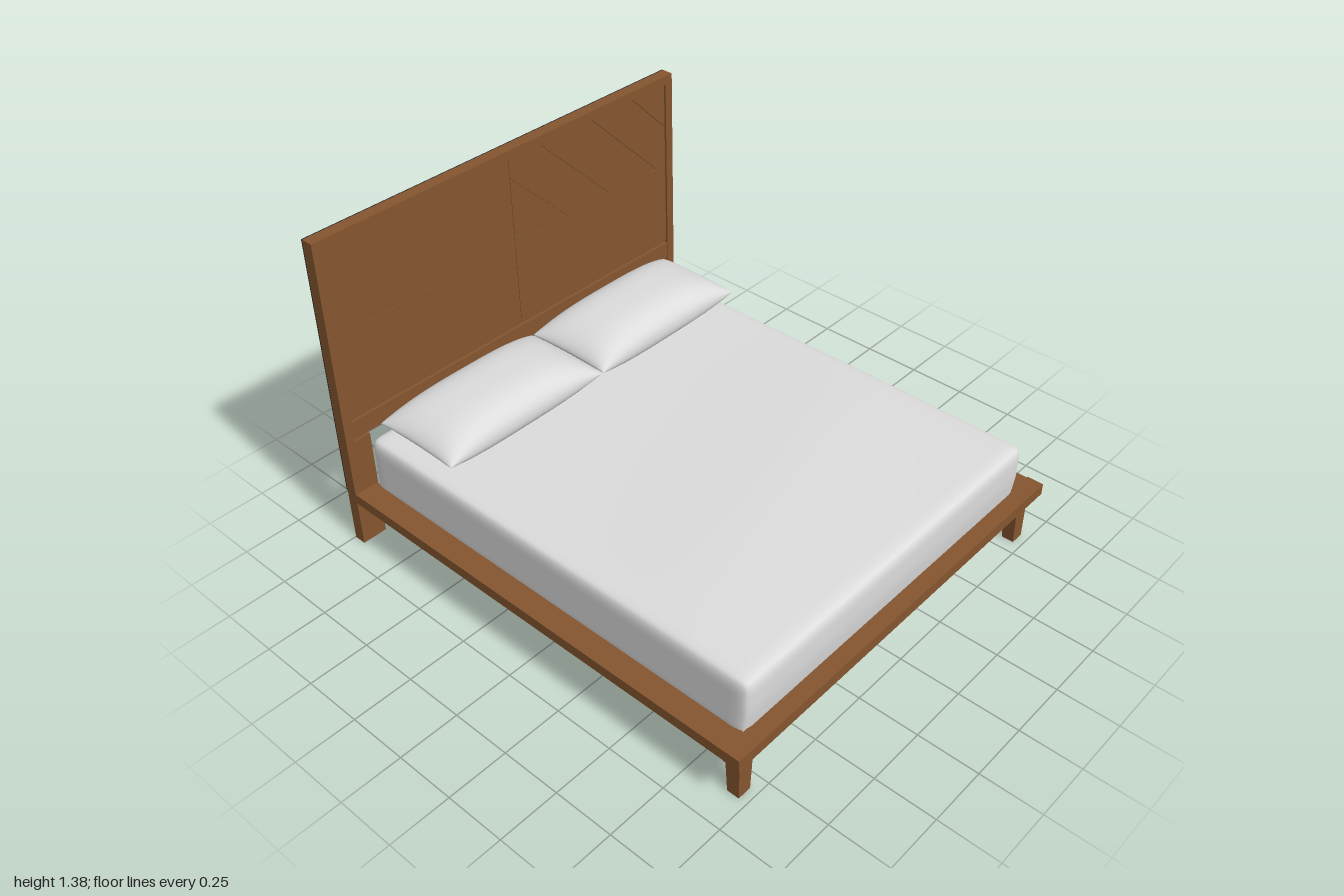
import * as THREE from 'three';
import { mergeVertices } from 'three/addons/utils/BufferGeometryUtils.js';

const mat = (name, color) => Object.assign(new THREE.MeshStandardMaterial({ color }), { name });

export function createModel() {
  const wood = mat('warm wood', 0x85562f);
  const linen = mat('pale linen', 0xdcdcdc);
  const backing = mat('charcoal backing', 0x2d2d2d);
  const root = new THREE.Group();
  root.name = 'bed';

  const add = (name, geometry, material, parent = root) => {
    const mesh = new THREE.Mesh(geometry, material);
    mesh.name = name;
    parent.add(mesh);
    return mesh;
  };
  // Box given by its min and max on each axis
  const box = (name, [x0, x1], [y0, y1], [z0, z1], material = wood, parent = root) => {
    const m = add(name, new THREE.BoxGeometry(x1 - x0, y1 - y0, z1 - z0), material, parent);
    m.position.set((x0 + x1) / 2, (y0 + y1) / 2, (z0 + z1) / 2);
    return m;
  };
  // Same box on both sides of the bed
  const pair = (name, [x0, x1], y, z, material, parent) => {
    box(name + 'Left', [x0, x1], y, z, material, parent);
    box(name + 'Right', [-x1, -x0], y, z, material, parent);
  };
  // Move every vertex by a rule, then smooth the normals
  const reshape = (geometry, rule) => {
    const p = geometry.attributes.position, v = new THREE.Vector3();
    for (let i = 0; i < p.count; i++) {
      rule(v.fromBufferAttribute(p, i));
      p.setXYZ(i, v.x, v.y, v.z);
    }
    geometry.deleteAttribute('normal');
    geometry.deleteAttribute('uv');
    const g = mergeVertices(geometry, 1e-5);
    g.computeVertexNormals();
    return g;
  };
  const ease = t => Math.sin(t * Math.PI / 2);

  // Platform: top boards, aprons and cross slats
  box('frontBoard', [-0.91, 0.91], [0.205, 0.254], [0.93, 1]);
  pair('sideBoard', [0.805, 0.908], [0.205, 0.25], [-0.945, 0.93]);
  box('frontApron', [-0.8, 0.8], [0.15, 0.205], [0.9, 0.95]);
  pair('sideApron', [0.8, 0.862], [0.15, 0.205], [-0.94, 0.905]);
  for (const z of [-0.5, 0, 0.5]) box('crossSlat', [-0.8, 0.8], [0.15, 0.205], [z - 0.04, z + 0.04]);

  // Tapered front legs: straight on the outside, sloped on the inside
  for (const s of [1, -1]) {
    const leg = new THREE.BoxGeometry(0.07, 0.205, 0.065);
    const p = leg.attributes.position;
    for (let i = 0; i < p.count; i++) {
      if (p.getY(i) > 0) continue;
      if (p.getX(i) * s < 0) p.setX(i, p.getX(i) + 0.012 * s);
      if (p.getZ(i) < 0) p.setZ(i, p.getZ(i) + 0.014);
    }
    leg.computeVertexNormals();
    add('frontLeg', leg, wood).position.set(s * 0.83, 0.1025, 0.933);
  }

  // Headboard: posts, frame, lower rail and dark back
  const head = new THREE.Group();
  head.name = 'headboard';
  root.add(head);
  pair('backLeg', [0.8, 0.908], [0, 0.49], [-0.998, -0.946], wood, head);
  pair('sideFrame', [0.872, 0.91], [0.25, 1.375], [-0.995, -0.945], wood, head);
  box('topFrame', [-0.872, 0.872], [1.337, 1.375], [-0.995, -0.945], wood, head);
  box('lowerRail', [-0.872, 0.872], [0.5, 0.58], [-0.985, -0.948], wood, head);
  box('panelCore', [-0.872, 0.872], [0.58, 1.337], [-0.985, -0.96], wood, head);
  box('backPanel', [-0.872, 0.872], [0.5, 1.337], [-0.992, -0.985], backing, head);
  pair('backEdge', [0.872, 0.91], [0.25, 1.375], [-1, -0.995], backing, head);
  box('backTopEdge', [-0.872, 0.872], [1.337, 1.375], [-1, -0.995], backing, head);
  box('backLowerEdge', [-0.872, 0.872], [0.5, 0.56], [-0.998, -0.992], backing, head);

  // Diamond planks: diagonal bands clipped to one quarter, mirrored to four
  const W = 0.868, H = 0.368, seam = 0.001;
  const rings = [0, 0.05, 0.285, 0.53, 0.81, 1.045, W + H];
  const upper = r => (r <= H ? [0, r] : [r - H, H]);
  const lower = r => (r <= W ? [r, 0] : [W, r - W]);
  for (let i = 0; i < rings.length - 1; i++) {
    const a = rings[i] + (i ? 0.003 : 0), b = rings[i + 1];
    const pts = [upper(a)];
    if (a < H && b > H) pts.push([0, H]);
    pts.push(upper(b));
    if (b < W + H) pts.push(lower(b));
    if (a < W && b > W) pts.push([W, 0]);
    if (a > 0) pts.push(lower(a));
    for (const sx of [1, -1]) for (const sy of [1, -1]) {
      const shape = new THREE.Shape(pts.map(([x, y]) => new THREE.Vector2(sx * (x + seam), sy * (y + seam))));
      const plank = add('diamondPlank',
        new THREE.ExtrudeGeometry(shape, { depth: 0.009, bevelEnabled: false }), wood, head);
      plank.position.set(0, 0.966, -0.96);
    }
  }

  // Mattress: rounded block sunk between the side boards, with a gently uneven top
  const half = new THREE.Vector3(0.812, 0.134, 0.944), r = 0.04;
  const inner = half.clone().subScalar(r);
  const mattress = reshape(new THREE.BoxGeometry(2, 2, 2, 28, 12, 32), v => {
    v.set(ease(v.x), ease(v.y), ease(v.z)).multiply(half);
    const c = v.clone().clamp(inner.clone().negate(), inner);
    v.sub(c).setLength(r).add(c);
    if (v.y > 0) {
      const fade = Math.sqrt(Math.max(0, (1 - (v.x / half.x) ** 2) * (1 - (v.z / half.z) ** 2)));
      v.y += (v.y / half.y) * fade * (0.004 + 0.02 * Math.exp(-(((v.z - 0.45 + 0.3 * v.x) / 0.4) ** 2)));
    } else if (v.z > 0) {
      v.z *= 1 + 0.12 * v.y; // front face leans in towards the bottom
    }
  });
  add('mattress', mattress, linen).position.y = 0.339;

  // Pillows: a flattened block whose side walls close into a pinched seam
  for (const s of [1, -1]) {
    const pillow = reshape(new THREE.BoxGeometry(2, 2, 2, 36, 1, 28), v => {
      const u = ease(v.x), w = ease(v.z);
      const dome = Math.max(0, 1 - Math.abs(u) ** 3) ** 0.6 * Math.max(0, 1 - Math.abs(w) ** 3) ** 0.45;
      v.set(0.39 * u * (1 - 0.02 * (1 - w * w)), v.y * (v.y > 0 ? 0.1 : 0.08) * dome,
        0.199 * w * (1 - 0.015 * (1 - u * u)));
    });
    add(s > 0 ? 'pillowLeft' : 'pillowRight', pillow, linen).position.set(s * 0.393, 0.559, -0.688);
  }
  return root;
}
